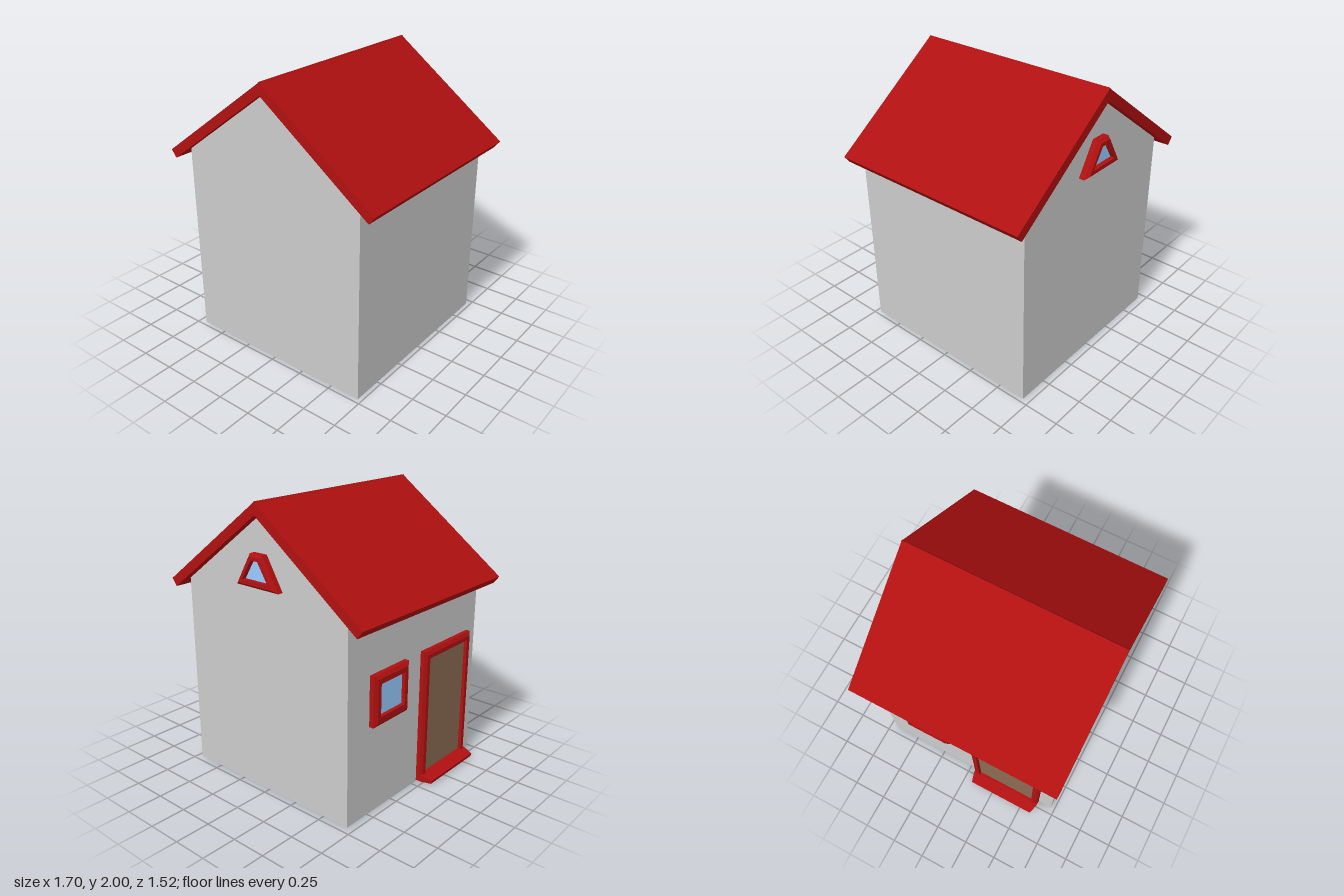
import * as THREE from 'three';
import { ConvexGeometry } from 'three/addons/geometries/ConvexGeometry.js';

const mat = (color) => new THREE.MeshStandardMaterial({ color, flatShading: true });
const wallMat = mat(0xcccccc), red = mat(0xb01010), glass = mat(0x99ccff), wood = mat(0x8b6b52);

function mesh(name, geometry, material) {
  const m = new THREE.Mesh(geometry, material);
  m.name = name;
  return m;
}

// Front outline extruded along z from z0 to z1
function prism(points, z0, z1) {
  const shape = new THREE.Shape(points.map(([x, y]) => new THREE.Vector2(x, y)));
  return new THREE.ExtrudeGeometry(shape, { depth: z1 - z0, bevelEnabled: false }).translate(0, 0, z0);
}

// Skin a series of equal-sized closed outlines, each [points, depth]
function loft(rings) {
  const pos = [];
  for (let r = 0; r < rings.length - 1; r++) {
    const [a, za] = rings[r], [b, zb] = rings[r + 1];
    for (let i = 0; i < a.length; i++) {
      const j = (i + 1) % a.length;
      const p = [...a[i], za], q = [...a[j], za], s = [...b[j], zb], t = [...b[i], zb];
      pos.push(...p, ...q, ...s, ...p, ...s, ...t);
    }
  }
  const g = new THREE.BufferGeometry();
  g.setAttribute('position', new THREE.Float32BufferAttribute(pos, 3));
  g.computeVertexNormals();
  return g;
}

// Symmetric four-sided outline, anticlockwise
const quad = (u, bottomHalf, topHalf, y0, y1) =>
  [[u - bottomHalf, y0], [u + bottomHalf, y0], [u + topHalf, y1], [u - topHalf, y1]];

// Chamfered surround with a recessed panel, facing local +z
function opening(name, outer, front, inner, depth, panelName, panelMat) {
  const g = new THREE.Group();
  g.name = name;
  const recess = depth * 0.45;
  g.add(mesh(name + 'Frame', loft([
    [outer, 0], [outer, depth * 0.65], [front, depth], [inner, depth], [inner, recess],
  ]), red));
  const shape = new THREE.Shape(inner.map(([x, y]) => new THREE.Vector2(x, y)));
  g.add(mesh(panelName, new THREE.ShapeGeometry(shape).translate(0, 0, recess), panelMat));
  return g;
}

export function createModel() {
  const house = new THREE.Group();
  house.name = 'house';

  // Walls with gables
  house.add(mesh('walls', prism(
    [[-0.698, 0], [0.72, 0], [0.72, 1.387], [0, 1.915], [-0.698, 1.402]], -0.7, 0.718), wallMat));

  // Pitched roof with a narrow ridge
  house.add(mesh('roof', prism([
    [0, 1.915], [0.81, 1.318], [0.85, 1.37], [0.012, 1.987], [0, 2],
    [-0.012, 1.987], [-0.85, 1.37], [-0.81, 1.318],
  ], -0.755, 0.76), red));

  // Door and window on the side wall
  const side = new THREE.Group();
  side.name = 'sideOpenings';
  side.position.x = -0.698;
  side.rotation.y = -Math.PI / 2;
  side.add(opening('door', quad(0.33, 0.28, 0.28, 0.01, 0.98), quad(0.33, 0.26, 0.26, 0.03, 0.955),
    quad(0.33, 0.23, 0.23, 0.055, 0.925), 0.045, 'doorPanel', wood));
  side.add(opening('sideWindow', quad(-0.31, 0.18, 0.18, 0.63, 0.98), quad(-0.31, 0.155, 0.155, 0.655, 0.955),
    quad(-0.31, 0.125, 0.125, 0.695, 0.92), 0.05, 'sideWindowGlass', glass));

  // Sloped doorstep
  const step = [];
  for (const s of [-1, 1]) {
    for (const [half, y, d] of [[0.28, 0.01, 0], [0.28, 0.06, 0], [0.28, 0.01, 0.042],
      [0.28, 0.057, 0.042], [0.26, 0.012, 0.115], [0.26, 0.037, 0.122]]) {
      step.push(new THREE.Vector3(0.33 + s * half, y, d));
    }
  }
  side.add(mesh('doorstep', new ConvexGeometry(step), red));
  house.add(side);

  // Tapered attic window in the rear gable
  const attic = opening('atticWindow', quad(-0.012, 0.185, 0.055, 1.45, 1.67), quad(-0.012, 0.155, 0.045, 1.468, 1.655),
    quad(-0.012, 0.115, 0.03, 1.495, 1.63), 0.06, 'atticGlass', glass);
  attic.position.z = -0.7;
  attic.rotation.y = Math.PI;
  house.add(attic);

  return house;
}
